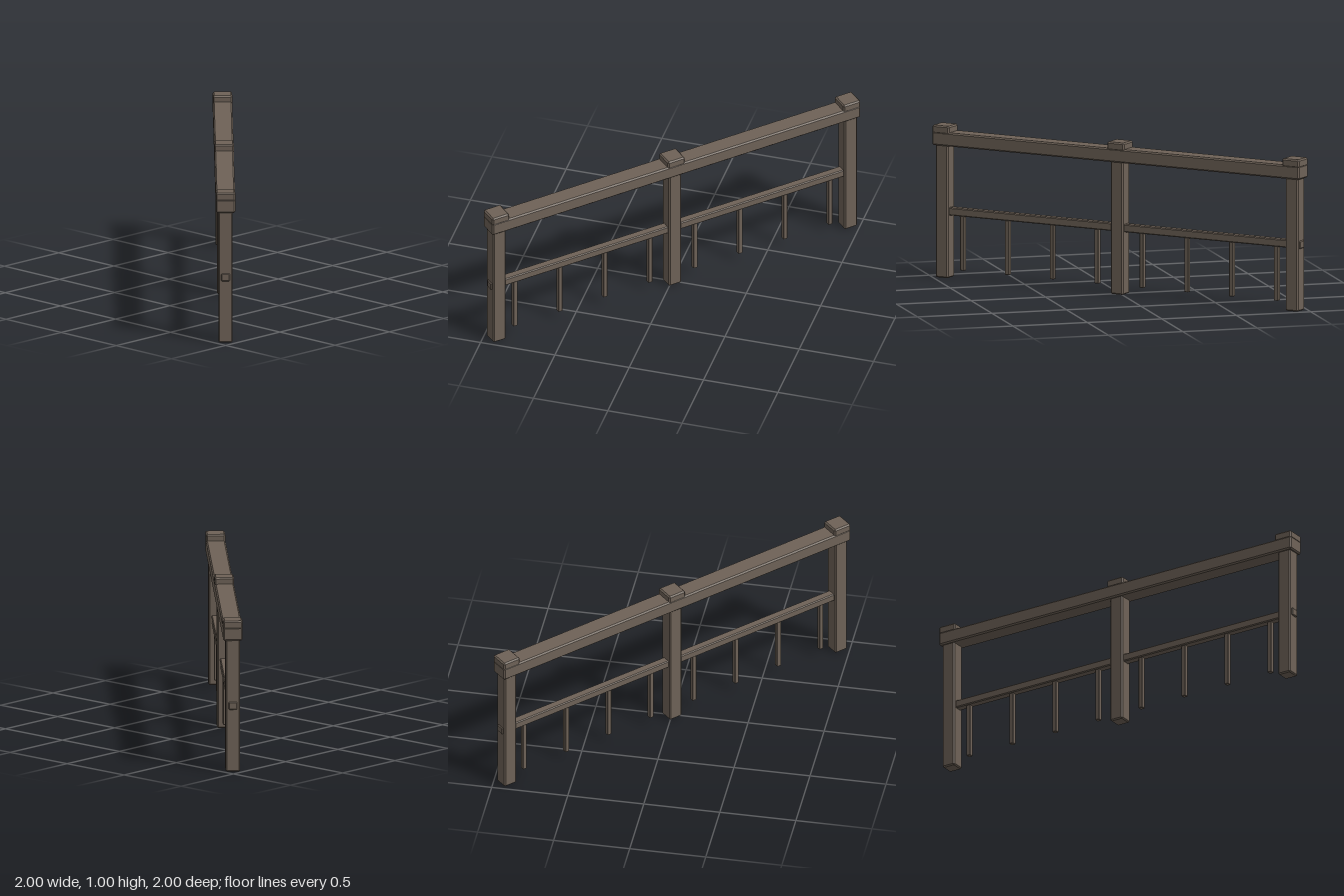
import * as THREE from 'three';
import { ConvexGeometry } from 'three/addons/geometries/ConvexGeometry.js';

// Box with every edge cut by a flat chamfer
function chamferedBox(w, h, d, c) {
  const points = [];
  for (const sx of [-1, 1]) for (const sy of [-1, 1]) for (const sz of [-1, 1]) {
    const x = w / 2, y = h / 2, z = d / 2;
    points.push(
      new THREE.Vector3(sx * x, sy * (y - c), sz * (z - c)),
      new THREE.Vector3(sx * (x - c), sy * y, sz * (z - c)),
      new THREE.Vector3(sx * (x - c), sy * (y - c), sz * z));
  }
  return new ConvexGeometry(points);
}

export function createModel() {
  const wood = new THREE.MeshStandardMaterial({ color: 0x6e6257 });
  wood.name = 'weatheredWood';

  const model = new THREE.Group();
  model.name = 'railing';
  // The railing is built along x, then turned to run along the diagonal
  const fence = new THREE.Group();
  fence.name = 'fence';
  fence.rotation.y = -Math.PI / 4;
  model.add(fence);

  const addBeam = (name, x, bottom, top, length, depth, chamfer) => {
    const mesh = new THREE.Mesh(chamferedBox(length, top - bottom, depth, chamfer), wood);
    mesh.name = name;
    mesh.position.set(x, (bottom + top) / 2, 0);
    fence.add(mesh);
  };

  // Posts with flat caps above the handrail
  for (const [side, x] of [['right', -1.297], ['middle', 0], ['left', 1.297]]) {
    addBeam(side + 'Post', x, 0, 0.92, 0.093, 0.093, 0.008);
    addBeam(side + 'Cap', x, 0.945, 1, 0.126, 0.126, 0.009);
  }

  // Handrail and thin lower rail, whose ends pass just through the end posts
  addBeam('handrail', 0, 0.868, 0.958, 2.72, 0.126, 0.009);
  addBeam('lowerRail', 0, 0.41, 0.462, 2.704, 0.056, 0.006);

  // Pickets hanging from the lower rail
  for (const side of [-1, 1]) {
    for (let i = 0; i < 4; i++) {
      addBeam('picket', side * (0.167 + i * 0.332), 0.053, 0.435, 0.03, 0.03, 0.003);
    }
  }
  return model;
}
